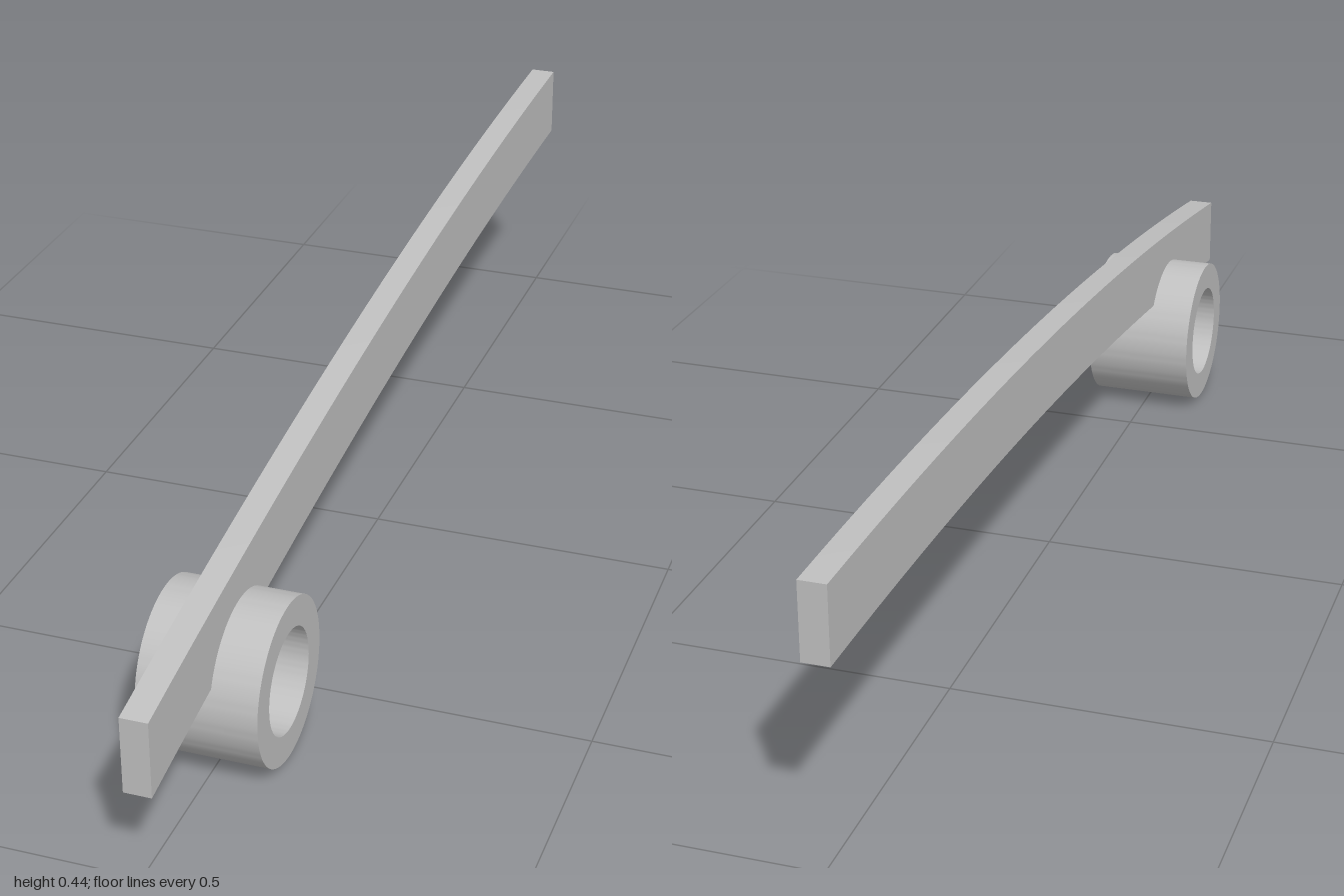
import * as THREE from 'three';
import { toCreasedNormals } from 'three/addons/utils/BufferGeometryUtils.js';

// Extrude a side profile (u = -z, v = y) across x, centred on x = 0
function sidePart(name, shape, width, material) {
  const extruded = new THREE.ExtrudeGeometry(shape, { depth: width, bevelEnabled: false, curveSegments: 48 });
  extruded.translate(0, 0, -width / 2);
  extruded.rotateY(Math.PI / 2);
  const mesh = new THREE.Mesh(toCreasedNormals(extruded, 0.5), material);
  mesh.name = name;
  return mesh;
}

export function createModel() {
  const group = new THREE.Group();
  group.name = 'leverWithSleeve';
  const metal = new THREE.MeshStandardMaterial({ color: 0xc0c0c0 });
  metal.name = 'light grey';

  // Curved lever bar with vertical ends, flattening toward the back
  const topHeight = (u) => 0.395 + 0.0915 * u - 0.0435 * u * u;
  const barDepth = 0.121;
  const steps = 24;
  const top = [];
  const bottom = [];
  for (let i = 0; i <= steps; i++) {
    const u = -1 + (2 * i) / steps;
    top.push(new THREE.Vector2(u, topHeight(u)));
    bottom.push(new THREE.Vector2(u, topHeight(u) - barDepth));
  }
  const barShape = new THREE.Shape([...bottom, ...top.reverse()]);
  group.add(sidePart('leverBar', barShape, 0.042, metal));

  // Hollow pivot sleeve under the front of the bar
  const sleeveShape = new THREE.Shape();
  sleeveShape.absarc(-0.67, 0.127, 0.127, 0, Math.PI * 2, false);
  const bore = new THREE.Path();
  bore.absarc(-0.67, 0.127, 0.081, 0, Math.PI * 2, true);
  sleeveShape.holes.push(bore);
  group.add(sidePart('pivotSleeve', sleeveShape, 0.185, metal));

  return group;
}
